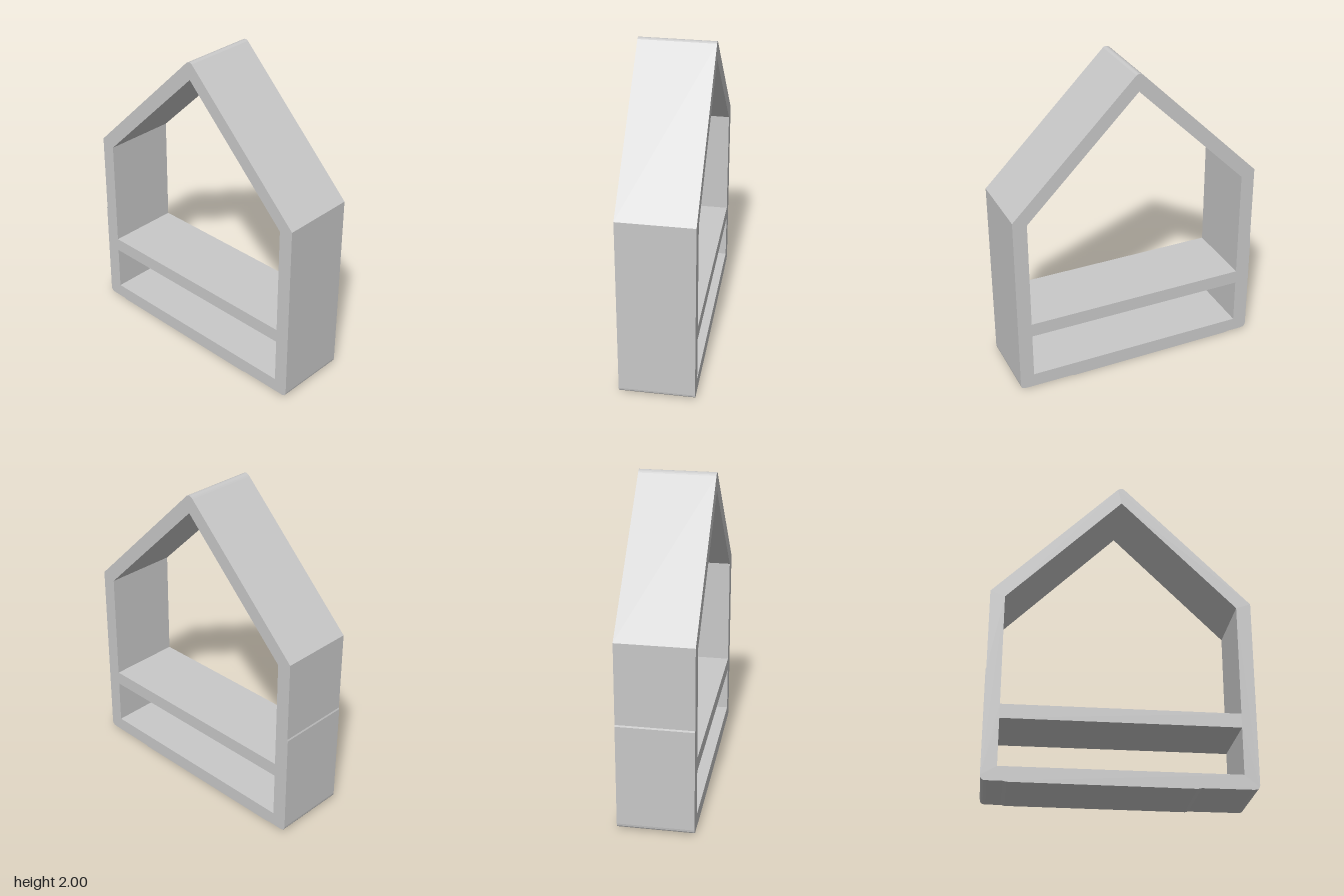
import * as THREE from 'three';

const DEPTH = 0.47;

// Closed path from corner points
function outline(PathType, points) {
  return new PathType(points.map(([x, y]) => new THREE.Vector2(x, y)));
}

export function createModel() {
  const group = new THREE.Group();
  group.name = 'houseShelf';
  const grey = new THREE.MeshStandardMaterial({ color: 0xc8c8c8 });
  grey.name = 'light grey';

  // House silhouette with eased bottom corners and a blunted ridge
  const shape = new THREE.Shape();
  shape.moveTo(-0.775, 0.008);
  shape.lineTo(-0.68, 0.008);
  shape.lineTo(-0.66, 0.003);
  shape.lineTo(0.44, 0);
  shape.lineTo(0.46, 0.005);
  shape.lineTo(0.77, 0.006);
  shape.quadraticCurveTo(0.805, 0.006, 0.805, 0.035);
  shape.lineTo(0.805, 1.21);
  shape.lineTo(0.018, 1.993);
  shape.quadraticCurveTo(0.008, 2, 0, 2);
  shape.quadraticCurveTo(-0.015, 2, -0.03, 1.985);
  shape.lineTo(-0.805, 1.213);
  shape.lineTo(-0.805, 0.7);
  shape.lineTo(-0.809, 0.69);
  shape.lineTo(-0.809, 0.04);
  shape.quadraticCurveTo(-0.809, 0.008, -0.775, 0.008);

  // Gabled opening above the shelf, slot below it
  shape.holes.push(
    outline(THREE.Path, [[-0.715, 0.475], [-0.715, 1.178], [0, 1.89], [0.715, 1.178], [0.715, 0.475]]),
    outline(THREE.Path, [[-0.715, 0.095], [-0.715, 0.387], [0.715, 0.387], [0.715, 0.095]]),
  );

  const geometry = new THREE.ExtrudeGeometry(shape, { depth: DEPTH, bevelEnabled: false, curveSegments: 4 });
  geometry.translate(0, 0, -DEPTH / 2);
  const frame = new THREE.Mesh(geometry, grey);
  frame.name = 'frameWithShelf';
  group.add(frame);
  return group;
}
